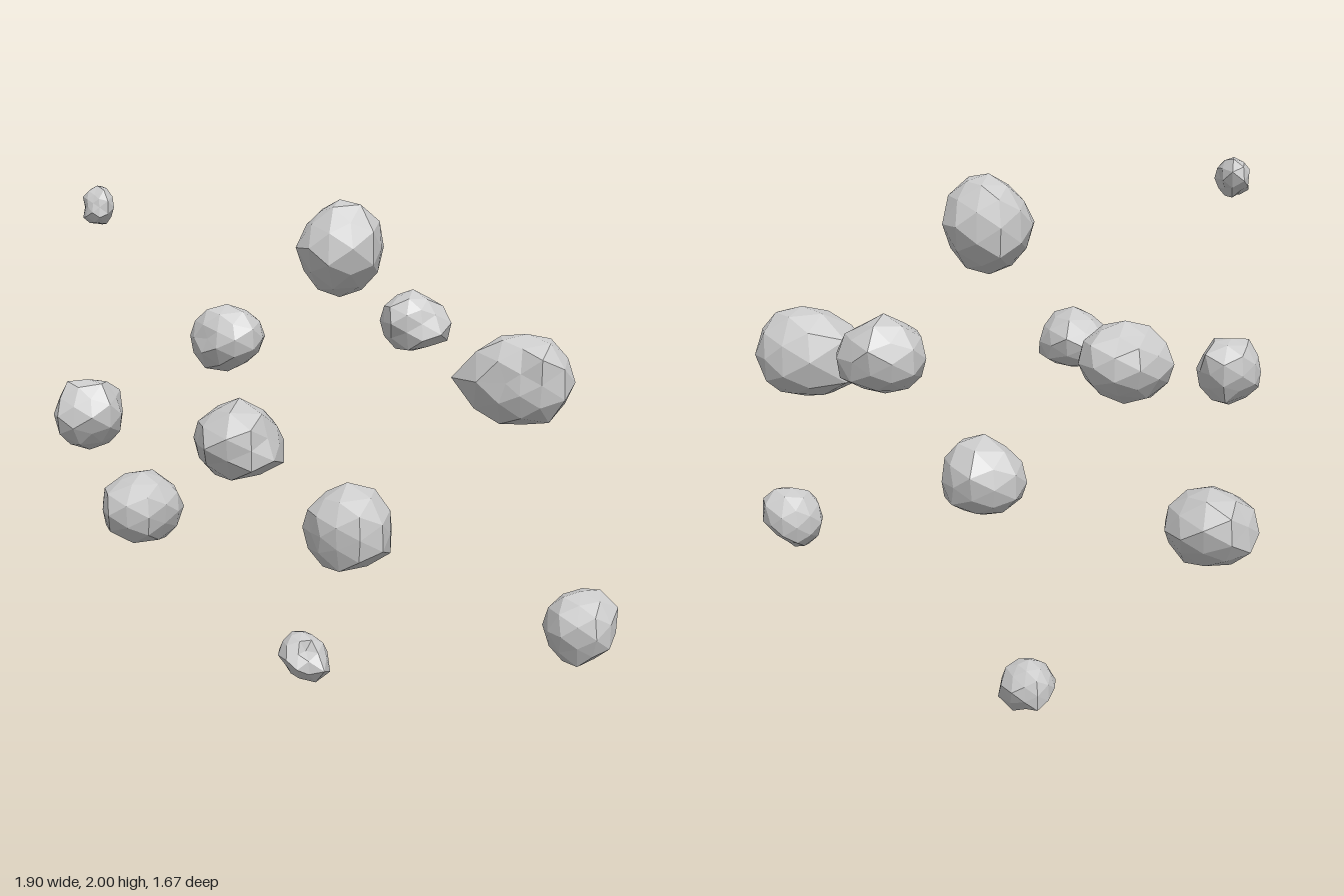
import * as THREE from 'three';
import { mergeVertices } from 'three/addons/utils/BufferGeometryUtils.js';

const material = new THREE.MeshStandardMaterial({ color: 0xcccccc, flatShading: true });

// Small seeded generator, returns values in -1..1
function seeded(seed) {
  let s = seed * 7919 + 17;
  return () => {
    s = (s * 16807) % 2147483647;
    return (s / 2147483647) * 2 - 1;
  };
}

// Faceted boulder: a rough sphere with a bump and a dent, sized about its centre.
// The length of the bump and dent vectors is their strength; small rocks are rougher.
function rock(name, centre, size, { bump = [0, 0, 0], dent = [0, 0, 0] }) {
  const sphere = new THREE.IcosahedronGeometry(1, 1);
  sphere.deleteAttribute('normal');
  sphere.deleteAttribute('uv');
  const geometry = mergeVertices(sphere, 1e-3);
  const pos = geometry.attributes.position;
  const extent = new THREE.Vector3(...size);
  const rough = 0.04 / extent.length();
  const rand = seeded(name.length);
  const lobes = [[bump, 1], [dent, -1]].map(([dir, sign]) => {
    const axis = new THREE.Vector3(...dir);
    return { amount: sign * axis.length(), axis: axis.normalize() };
  });
  const v = new THREE.Vector3();
  for (let i = 0; i < pos.count; i++) {
    v.fromBufferAttribute(pos, i);
    let r = 1 + rand() * rough;
    for (const { axis, amount } of lobes) r += amount * Math.exp(-5 * (1 - v.dot(axis)));
    v.multiplyScalar(r);
    pos.setXYZ(i, v.x, v.y, v.z);
  }
  geometry.center();
  const span = geometry.boundingBox.getSize(new THREE.Vector3());
  extent.divide(span);
  geometry.scale(extent.x, extent.y, extent.z);
  geometry.computeVertexNormals();
  const mesh = new THREE.Mesh(geometry, material);
  mesh.name = name;
  mesh.position.set(...centre);
  return mesh;
}

export function createModel() {
  const group = new THREE.Group();
  group.name = 'asteroidField';
  group.add(
    // Upper rocks
    rock('topPebble', [-0.755, 1.93, -0.195], [0.11, 0.14, 0.17], { bump: [0.2, 0.4, -0.5], dent: [-0.3, 0, 0.2] }),
    rock('topBoulder', [0.12, 1.77, -0.05], [0.34, 0.36, 0.36], { dent: [-0.1, 0.1, 0] }),
    rock('backBoulder', [-0.18, 1.38, -0.68], [0.3, 0.28, 0.32], { bump: [-0.15, -0.2, 0], dent: [-0.3, 0, 0.2] }),
    rock('backRightRock', [0.61, 1.44, -0.625], [0.28, 0.26, 0.29], { bump: [0.3, 0, 0.2], dent: [0.1, 0.1, 0.3] }),
    rock('lobedBoulder', [0.74, 1.29, 0.17], [0.42, 0.34, 0.36], { bump: [-0.5, 0, -0.4], dent: [-0.3, 0, 0.3] }),
    // Middle rocks
    rock('leftRock', [-0.825, 1.18, -0.065], [0.25, 0.26, 0.25], { bump: [0.1, 0.1, -0.1], dent: [-0.1, 0, -0.1] }),
    rock('frontLeftRock', [-0.405, 1.2, 0.64], [0.29, 0.26, 0.38], { bump: [0, 0.2, 0.1], dent: [0.1, 0.1, 0.2] }),
    rock('lowerLeftBoulder', [-0.575, 0.725, -0.52], [0.33, 0.29, 0.4], { bump: [0, 0.1, -0.1], dent: [0.1, 0, 0.1] }),
    rock('centreBoulder', [0.1, 0.765, 0.18], [0.32, 0.33, 0.34], { bump: [0.1, 0.2, 0], dent: [-0.2, 0, 0.1] }),
    // Lower rocks
    rock('frontRightRock', [0.795, 0.48, 0.695], [0.25, 0.26, 0.27], { bump: [0.4, 0.2, 0], dent: [0.3, -0.3, 0] }),
    rock('bottomRock', [0.045, 0.1, -0.33], [0.21, 0.2, 0.26], { bump: [0.3, -0.3, 0.2], dent: [0, 0.2, 0.3] }),
  );
  return group;
}
